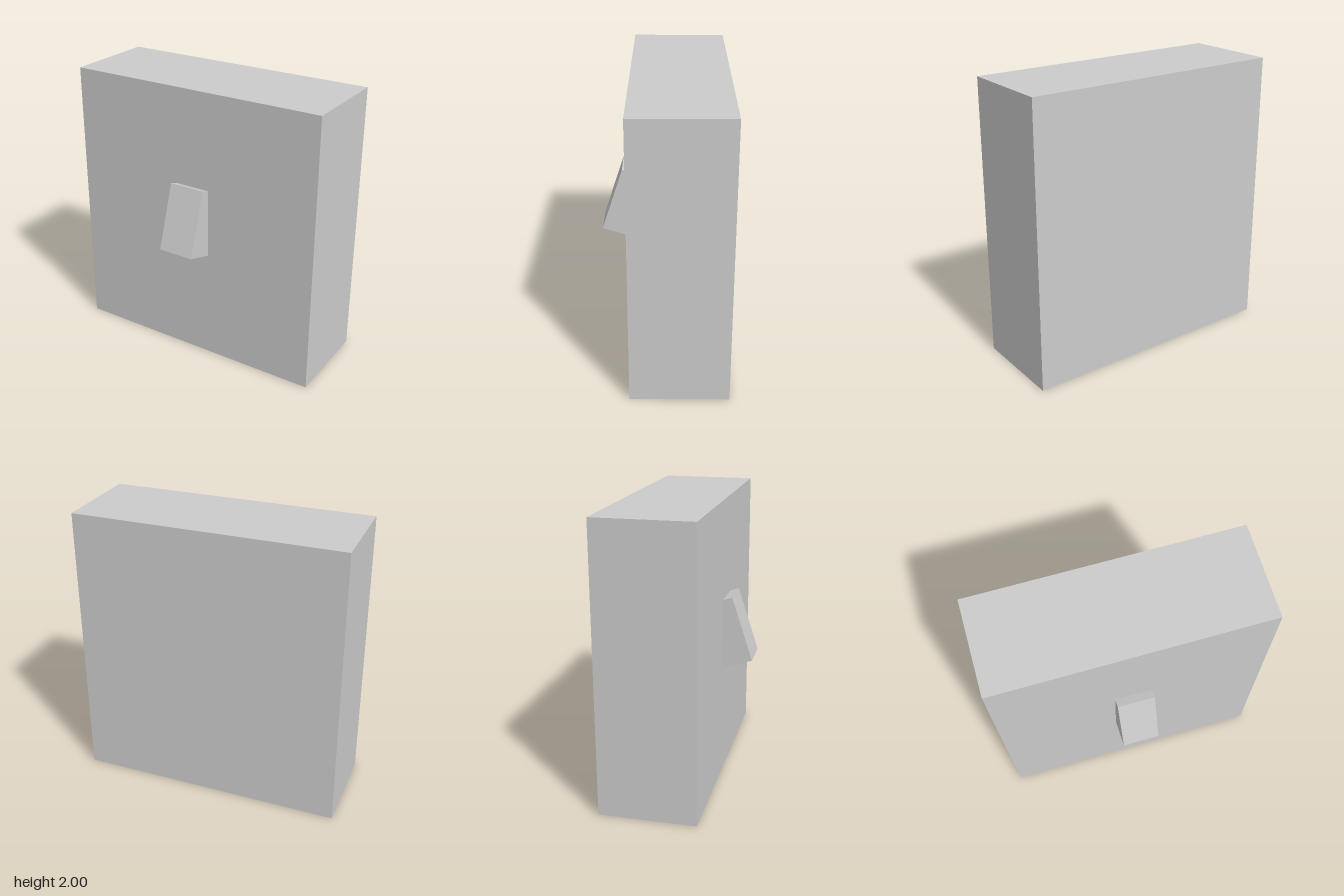
import * as THREE from 'three';

export function createModel() {
  const group = new THREE.Group();
  const material = new THREE.MeshStandardMaterial({ color: 0xcccccc, flatShading: true });

  const addBox = (name, size, position, tilt = 0) => {
    const mesh = new THREE.Mesh(new THREE.BoxGeometry(...size), material);
    mesh.name = name;
    mesh.position.set(...position);
    mesh.rotation.x = tilt;
    group.add(mesh);
  };

  // Wall plate block
  addBox('plate', [1.89, 2, 0.674], [0, 1, -0.106]);

  // Toggle, tilted with its lower edge out and its back sunk into the plate
  const tilt = THREE.MathUtils.degToRad(18);
  const depth = 0.26;
  addBox(
    'toggle',
    [0.26, 0.474, depth],
    [0, 1.101 - (depth / 2) * Math.sin(tilt), 0.368 - (depth / 2) * Math.cos(tilt)],
    -tilt
  );

  return group;
}
